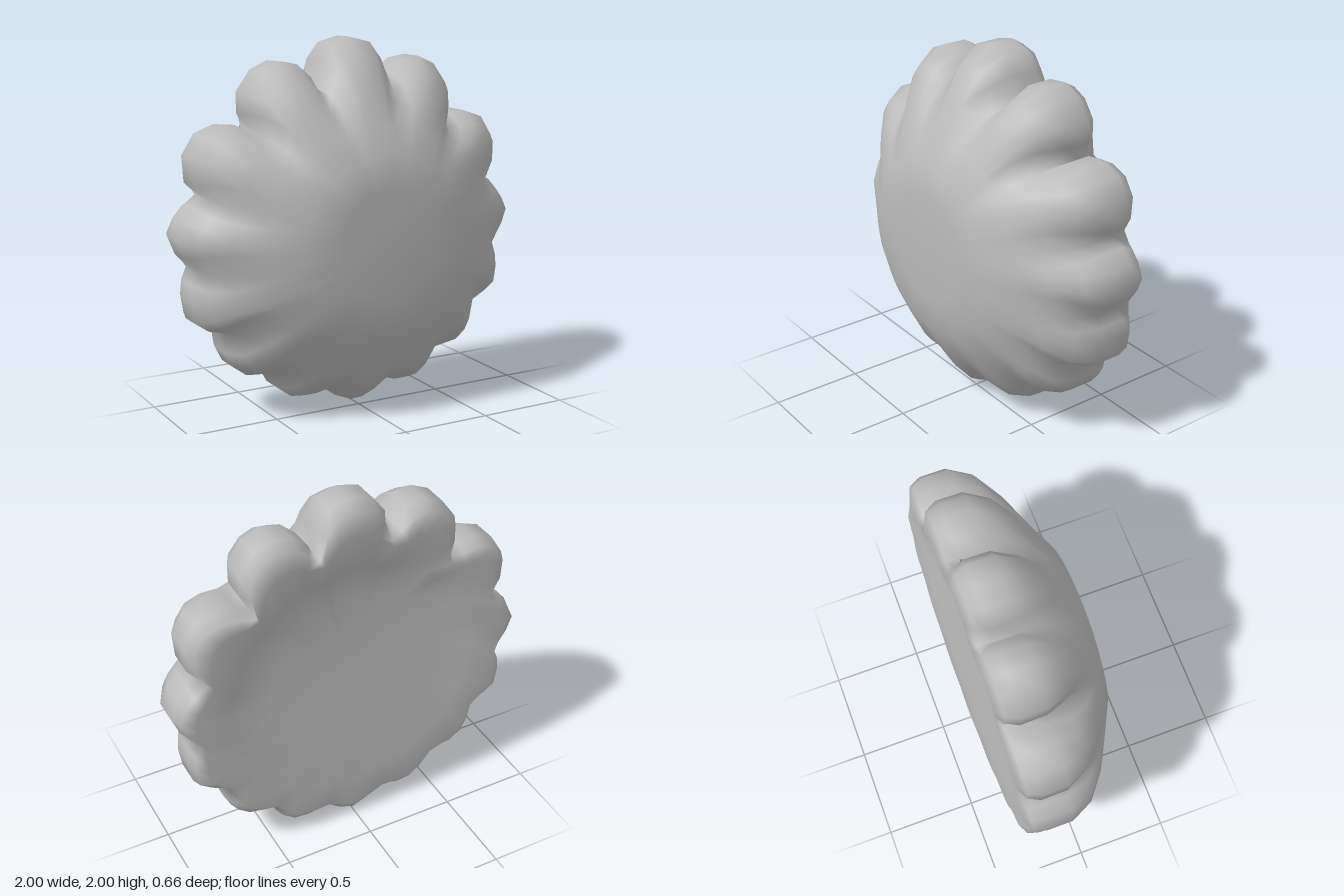
import * as THREE from 'three';

// Right half of the scalloped outline (x, y): each lobe starts after a valley point and ends with one
const TOP_LOBE = [[0, 2], [0.12, 1.97], [0.19, 1.88], [0.2, 1.74]];
const SIDE_LOBES = [
  [[0.23, 1.8], [0.31, 1.87], [0.42, 1.885], [0.52, 1.84], [0.6, 1.73], [0.6, 1.62], [0.54, 1.51]],
  [[0.62, 1.56], [0.73, 1.57], [0.84, 1.53], [0.91, 1.42], [0.9, 1.28], [0.82, 1.2]],
  [[0.9, 1.17], [0.96, 1.1], [1, 1.01], [0.96, 0.91], [0.88, 0.82]],
  [[0.92, 0.77], [0.93, 0.68], [0.91, 0.56], [0.84, 0.51], [0.75, 0.49]],
  [[0.75, 0.38], [0.71, 0.3], [0.63, 0.24], [0.49, 0.24]],
  [[0.45, 0.14], [0.37, 0.08], [0.28, 0.07], [0.17, 0.11]],
];
const BOTTOM_LOBE = [[0.1, 0.04], [0, 0]];

// Rings from front to back: body spread (0 = front disc, 1 = valleys of the rim),
// lobe bulge, lobe width, depth z, tilt of z with height
const RINGS = [
  [-0.5, 0, 1, 0.328, 0], [0, 0, 0.9, 0.312, 0],
  [0.41, 0.07, 0.75, 0.225, 0], [0.7, 0.42, 0.68, 0.14, 0], [0.92, 0.77, 0.8, 0.035, 0],
  [1, 1, 0.98, -0.09, 0], [1, 1, 1, -0.23, 0], [0.99, 0.86, 0.85, -0.295, 0],
  [0.94, 0.5, 0.7, -0.328, 0], [0.55, 0.1, 0.85, -0.29, 0.03], [0, 0, 1, -0.265, 0.08],
];

// Polar outline: angle clockwise from the top, radius, and the axis angle of the lobe
function polarOutline() {
  const polar = ([x, y]) => ({ angle: Math.atan2(x, y - 1), r: Math.hypot(x, y - 1) });
  const half = [];
  const addLobe = (points, axis) => points.forEach((p, i) => {
    const q = polar(p);
    const isValley = i === points.length - 1 && p[0] !== 0;
    half.push({ ...q, axis: isValley ? q.angle : axis });
  });
  addLobe(TOP_LOBE, 0);
  for (const lobe of SIDE_LOBES) {
    const start = half[half.length - 1].angle;
    addLobe(lobe, (start + polar(lobe[lobe.length - 1]).angle) / 2);
  }
  addLobe(BOTTOM_LOBE, Math.PI);
  const mirrored = half.slice(1, -1).reverse()
    .map(({ angle, r, axis }) => ({ angle: -angle, r, axis: -axis }));
  return [...half, ...mirrored];
}

function shellGeometry() {
  const outline = polarOutline();
  const n = outline.length;
  const positions = [0, 1, 0.335];
  for (const [spread, bulge, width, z, tilt] of RINGS) {
    for (const { angle, r, axis } of outline) {
      const up = Math.cos(angle);
      const disc = 0.47 - 0.05 * up; // front disc sits a little low
      const valley = Math.min(0.9, 0.87 - 0.14 * up * r); // valleys are deeper at the top
      const radius = disc + (valley - disc) * spread + (r - valley) * bulge;
      const a = axis + (angle - axis) * width; // lobes narrow towards front and back
      const dy = radius * Math.cos(a);
      positions.push(radius * Math.sin(a), 1 + dy, z + tilt * dy);
    }
  }
  positions.push(0, 1, -0.262);

  const index = [];
  const at = (ring, j) => 1 + ring * n + (j % n);
  const last = RINGS.length - 1;
  for (let j = 0; j < n; j++) {
    index.push(0, at(0, j + 1), at(0, j));
    for (let i = 0; i < last; i++) {
      const a = at(i, j), b = at(i, j + 1), c = at(i + 1, j + 1), d = at(i + 1, j);
      index.push(a, b, c, a, c, d);
    }
    index.push(1 + (last + 1) * n, at(last, j), at(last, j + 1));
  }
  const geometry = new THREE.BufferGeometry();
  geometry.setAttribute('position', new THREE.Float32BufferAttribute(positions, 3));
  geometry.setIndex(index);
  geometry.computeVertexNormals();
  return geometry;
}

export function createModel() {
  const group = new THREE.Group();
  group.name = 'scallopedDome';
  const grey = new THREE.MeshStandardMaterial({ color: 0xbababa });
  grey.name = 'light grey';
  const shell = new THREE.Mesh(shellGeometry(), grey);
  shell.name = 'lobedShell';
  group.add(shell);
  return group;
}
